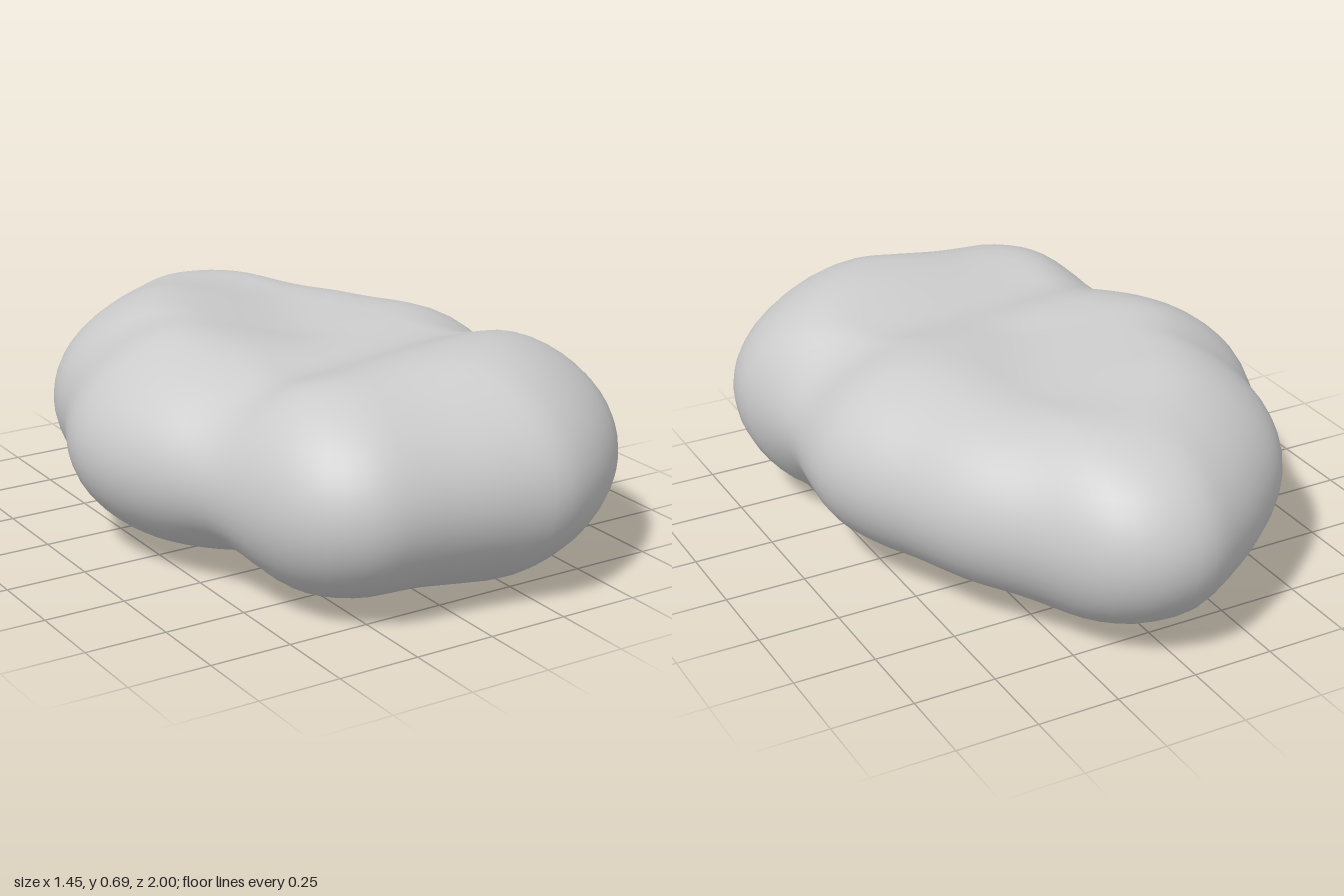
import * as THREE from 'three';

const MID = 0.345; // height of the symmetry plane
const EDGE = 0.4; // width of the rounded rim

// Outline seen from above, as x, z pairs
const OUTLINE = [
  [0.06, -1], [0.15, -0.97], [0.24, -0.9], [0.36, -0.72], [0.5, -0.52], [0.6, -0.3], [0.66, -0.17],
  [0.7, -0.03], [0.695, 0.1], [0.68, 0.24], [0.7, 0.4], [0.72, 0.53], [0.69, 0.66], [0.61, 0.78],
  [0.5, 0.88], [0.39, 0.95], [0.26, 0.995], [0.14, 0.98], [-0.08, 0.945], [-0.2, 0.935], [-0.31, 0.92],
  [-0.42, 0.85], [-0.49, 0.75], [-0.53, 0.63], [-0.58, 0.42], [-0.68, 0.18], [-0.722, 0.03],
  [-0.72, -0.13], [-0.62, -0.38], [-0.57, -0.55], [-0.49, -0.68], [-0.33, -0.83], [-0.17, -0.94], [-0.05, -1],
];

// Soft ridge (or groove, if amp is negative) along a segment
function ridge(x, z, ax, az, bx, bz, width, amp) {
  const dx = bx - ax, dz = bz - az;
  const len2 = dx * dx + dz * dz || 1;
  const t = THREE.MathUtils.clamp(((x - ax) * dx + (z - az) * dz) / len2, 0, 1);
  const d2 = (x - ax - dx * t) ** 2 + (z - az - dz * t) ** 2;
  return amp * Math.exp(-d2 / (width * width));
}

// Half thickness of the body before the rim is rounded off
function halfThickness(x, z) {
  return 0.307
    + ridge(x, z, -0.3, 0.62, 0.3, 0.58, 0.22, 0.01) // front lobe
    + ridge(x, z, 0.25, 0.58, 0.25, 0.58, 0.3, 0.03)
    + ridge(x, z, -0.38, -0.1, -0.24, -0.42, 0.2, 0.03) // left back lobe
    + ridge(x, z, -0.5, 0.38, 0.66, 0.21, 0.13, -0.04) // groove across
    + ridge(x, z, 0, 0, 0.16, -0.35, 0.17, -0.022); // hollow between the back lobes
}

function bodyGeometry() {
  const SEG = 96, RIM = 12, INNER = 10;
  const curve = new THREE.CatmullRomCurve3(OUTLINE.map(([x, z]) => new THREE.Vector3(x, 0, z)), true);
  const loop = curve.getSpacedPoints(SEG).slice(0, SEG);

  // Rings run from the top centre over the rim to the bottom centre
  const half = [];
  for (let i = 0; i < INNER; i++) half.push({ inner: i / INNER, phi: Math.PI / 2 });
  for (let i = 0; i <= RIM; i++) half.push({ inner: 1, phi: (1 - i / RIM) * Math.PI / 2 });
  const rings = half.map((r) => ({ ...r, side: 1 }));
  for (let i = half.length - 2; i >= 0; i--) rings.push({ ...half[i], side: -1 });

  const positions = [], index = [];
  for (const { inner, phi, side } of rings) {
    for (const p of loop) {
      const inset = EDGE * (1 - Math.cos(phi));
      const s = inner * (1 - inset / p.length());
      const x = p.x * s, z = p.z * s;
      positions.push(x, MID + side * halfThickness(x, z) * Math.sin(phi), z);
    }
  }
  for (let r = 0; r < rings.length - 1; r++) {
    for (let i = 0; i < SEG; i++) {
      const j = (i + 1) % SEG;
      const a = r * SEG + i, b = r * SEG + j, c = a + SEG, d = b + SEG;
      if (r < rings.length - 2) index.push(a, d, c);
      if (r > 0) index.push(a, b, d);
      else continue;
      if (r === rings.length - 2) continue;
    }
  }
  const g = new THREE.BufferGeometry();
  g.setAttribute('position', new THREE.Float32BufferAttribute(positions, 3));
  // Loop runs clockwise from above, so flip to face outwards
  for (let i = 0; i < index.length; i += 3) [index[i + 1], index[i + 2]] = [index[i + 2], index[i + 1]];
  const flip = signedVolume(positions, index) < 0;
  if (flip) for (let i = 0; i < index.length; i += 3) [index[i + 1], index[i + 2]] = [index[i + 2], index[i + 1]];
  g.setIndex(index);
  g.computeVertexNormals();
  return g;
}

// Positive when the faces point outwards
function signedVolume(pos, index) {
  const v = [0, 1, 2].map(() => new THREE.Vector3());
  let sum = 0;
  for (let i = 0; i < index.length; i += 3) {
    v.forEach((p, k) => p.fromArray(pos, index[i + k] * 3));
    sum += v[0].dot(v[1].cross(v[2]));
  }
  return sum;
}

export function createModel() {
  const group = new THREE.Group();
  group.name = 'pebble';
  const body = new THREE.Mesh(bodyGeometry(), new THREE.MeshStandardMaterial({ color: 0xcccccc }));
  body.name = 'lobedBody';
  group.add(body);
  return group;
}
